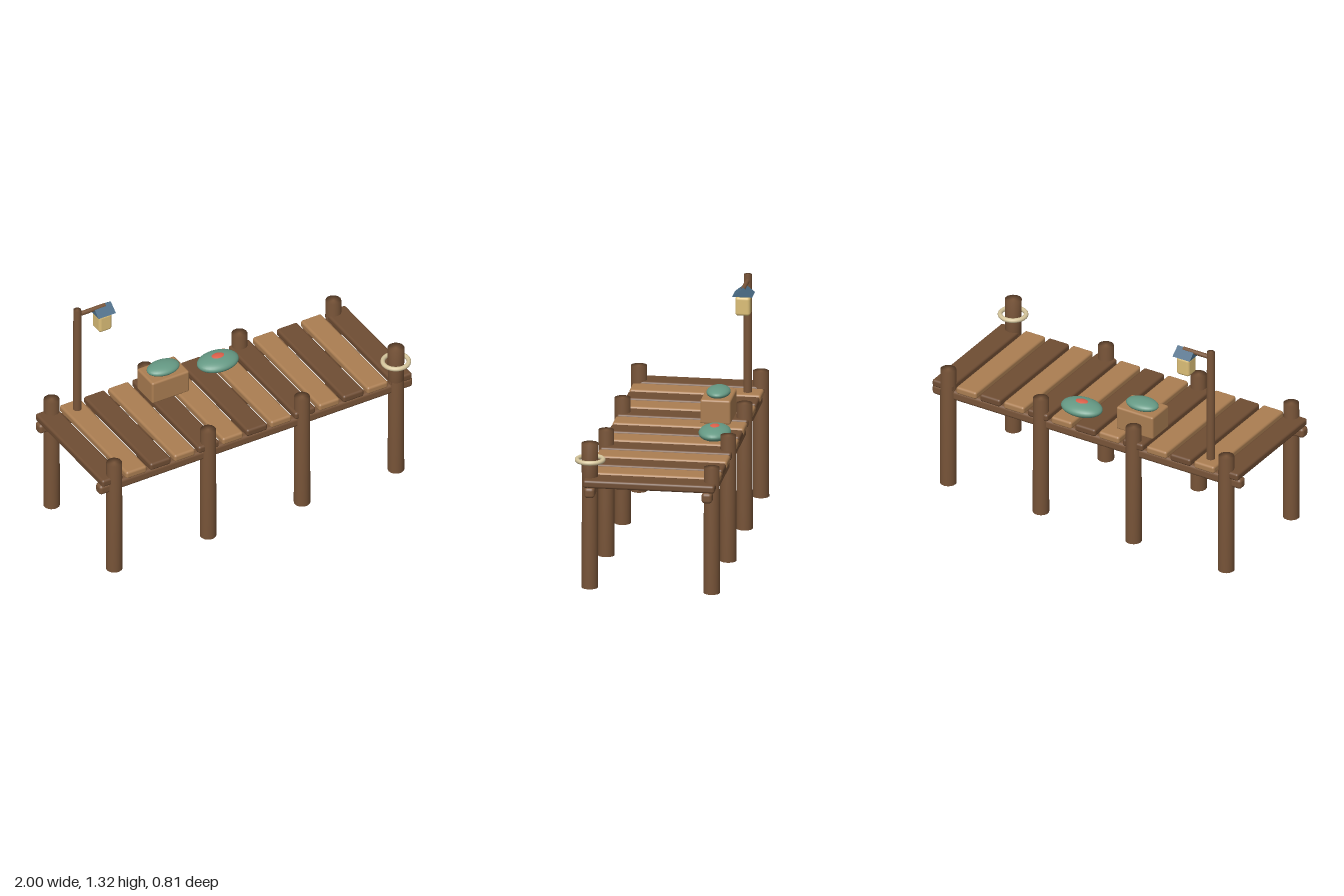
import * as THREE from 'three';
import { mergeVertices } from 'three/addons/utils/BufferGeometryUtils.js';
import { RoundedBoxGeometry } from 'three/addons/geometries/RoundedBoxGeometry.js';

const mat = (name, color) => {
  const m = new THREE.MeshStandardMaterial({ color });
  m.name = name;
  return m;
};

export function createModel() {
  const model = new THREE.Group();
  model.name = 'dock';

  const darkWood = mat('darkWood', 0x6f4d33);
  const lightWood = mat('lightWood', 0xab7e52);
  const postWood = mat('postWood', 0x795539);
  const rope = mat('rope', 0xd6c69c);
  const glow = mat('lampGlow', 0xdcbf78);
  const roofBlue = mat('roofBlue', 0x4a6c86);
  const green = mat('green', 0x659984);
  const red = mat('red', 0xdc5f4a);

  const add = (name, geometry, material, x, y, z) => {
    const mesh = new THREE.Mesh(geometry, material);
    mesh.name = name;
    mesh.position.set(x, y, z);
    model.add(mesh);
    return mesh;
  };

  // Log with normals shared between its side and caps
  const log = (rTop, rBottom, height, sides = 20) => {
    const g = new THREE.CylinderGeometry(rTop, rBottom, height, sides);
    g.deleteAttribute('normal');
    g.deleteAttribute('uv');
    const merged = mergeVertices(g, 1e-4);
    merged.computeVertexNormals();
    return merged;
  };

  const ellipsoid = (rx, ry, rz) => new THREE.SphereGeometry(1, 32, 20).scale(rx, ry, rz);

  // Deck planks in alternating woods
  const plank = new RoundedBoxGeometry(0.132, 0.045, 0.733, 3, 0.014);
  for (let i = 0; i < 13; i++) {
    add('plank', plank, i % 2 ? lightWood : darkWood, -0.924 + i * 0.154, 0.618, -0.018);
  }

  // Long beams under the deck
  const beam = new RoundedBoxGeometry(2, 0.06, 0.058, 3, 0.018);
  add('frontBeam', beam, postWood, 0, 0.569, 0.312);
  add('backBeam', beam, postWood, 0, 0.569, -0.342);

  // Support posts
  const post = log(0.044, 0.046, 0.722);
  for (const x of [-0.9, -0.3, 0.3, 0.9]) {
    add('frontPost', post, postWood, x, 0.361, 0.322);
    add('backPost', post, postWood, x, 0.361, -0.357);
  }

  // Mooring post with its rope ring
  add('mooringPost', log(0.047, 0.0445, 0.212), postWood, 0.9, 0.724, 0.322);
  add('ropeRing', new THREE.TorusGeometry(0.072, 0.013, 12, 40).rotateX(Math.PI / 2), rope, 0.9, 0.735, 0.32);

  // Lamp pole and arm
  add('lampPole', log(0.022, 0.0245, 0.685), postWood, -0.767, 0.975, -0.304);
  add('lampArm', log(0.013, 0.013, 0.178, 12).rotateZ(Math.PI / 2), postWood, -0.68, 1.283, -0.304);

  // Lantern with a gabled roof, ridge along the arm
  add('lantern', new RoundedBoxGeometry(0.082, 0.108, 0.084, 3, 0.016), glow, -0.608, 1.19, -0.304);
  const gable = new THREE.Shape([
    new THREE.Vector2(-0.056, 0), new THREE.Vector2(0.056, 0), new THREE.Vector2(0, 0.045),
  ]);
  const roof = new THREE.ExtrudeGeometry(gable, { depth: 0.11, bevelEnabled: false });
  roof.translate(0, 0, -0.055).rotateY(Math.PI / 2);
  add('lanternRoof', roof, roofBlue, -0.608, 1.25, -0.304);

  // Crate with a fruit on top
  add('crate', new RoundedBoxGeometry(0.238, 0.14, 0.17, 3, 0.012), lightWood, -0.27, 0.706, -0.216);
  add('crateFruit', ellipsoid(0.098, 0.03, 0.066), green, -0.27, 0.791, -0.217);

  // Larger fruit on the deck, showing its red heart
  add('deckFruit', ellipsoid(0.124, 0.04, 0.089), green, 0.1, 0.673, -0.252);
  add('fruitHeart', ellipsoid(0.06, 0.027, 0.042), red, 0.1, 0.69, -0.252);

  return model;
}
